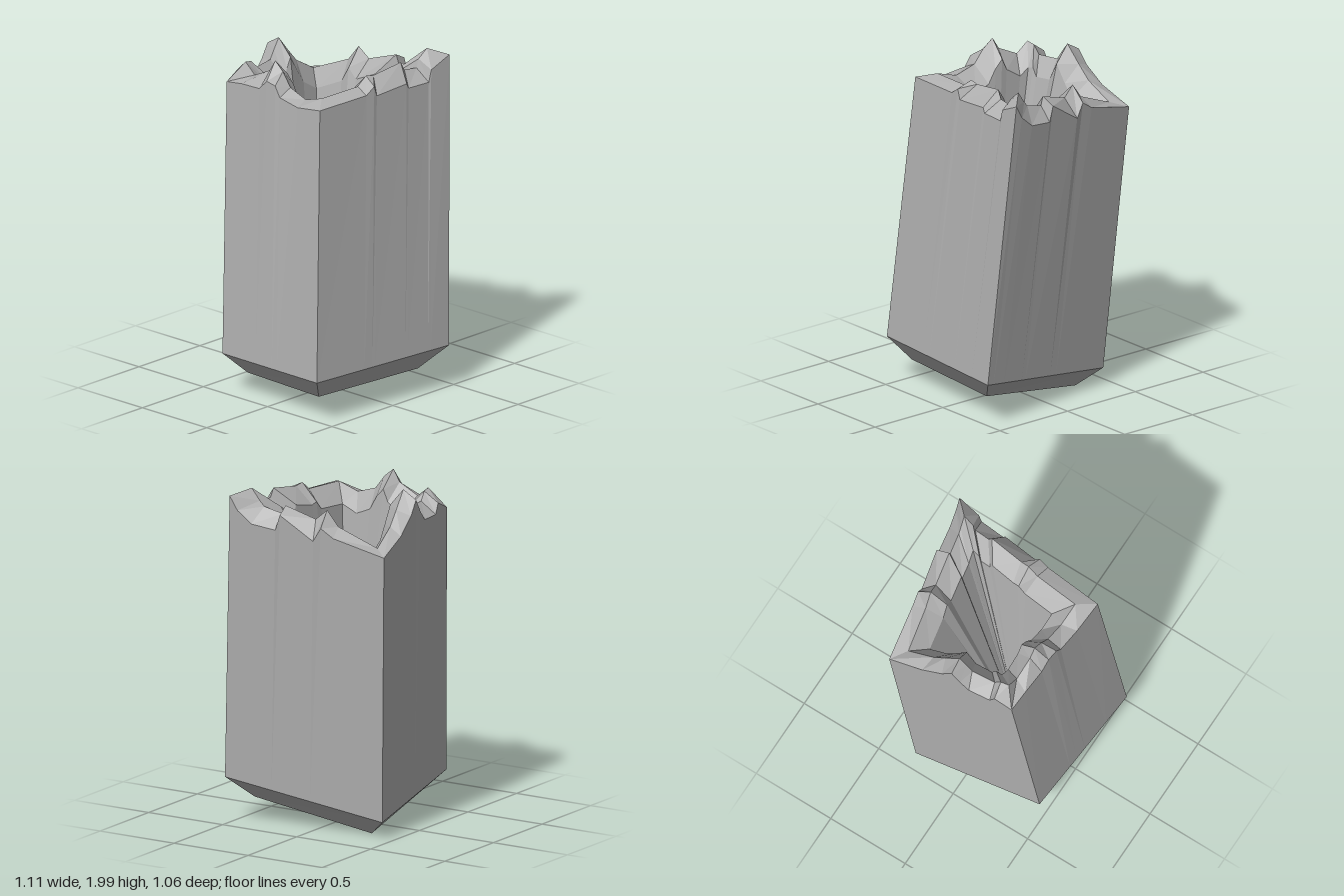
import * as THREE from 'three';

const V = (x, y, z) => new THREE.Vector3(x, y, z);

// Corner loops, ordered front-left, front-right, back-right, back-left
const belt = [V(-0.56, 0.26, 0.44), V(0.43, 0.26, 0.53), V(0.29, 0.1, -0.44), V(-0.49, 0.23, -0.36)];
const foot = [V(-0.45, 0.13, 0.35), V(0.29, 0.13, 0.42), V(0.2, 0, -0.31), V(-0.4, 0.12, -0.25)];
const spikeBase = [V(-0.24, 0.17, 0.14), V(0.06, 0.17, 0.16), V(0.06, 0.11, -0.13), V(-0.2, 0.15, -0.08)];
const outerTop = [V(-0.43, 1.83, 0.34), V(0.55, 1.94, 0.42), V(0.41, 1.68, -0.53), V(-0.36, 1.8, -0.45)];
const midTop = [V(-0.33, 1.86, 0.26), V(0.46, 1.98, 0.33), V(0.34, 1.71, -0.44), V(-0.29, 1.92, -0.37)];
const innerTop = [V(-0.23, 1.76, 0.17), V(0.33, 1.86, 0.22), V(0.26, 1.63, -0.34), V(-0.2, 1.8, -0.3)];
const hole = [V(-0.1, 0.2, 0.065), V(-0.045, 0.2, 0.07), V(-0.055, 0.2, 0.01), V(-0.1, 0.2, 0.015)];

// Jagged break along each side: [outer position, outer height, ridge position, ridge height]
const front = [[0.36, 1.84, 0.34, 1.87], [0.42, 1.88, 0.42, 1.92], [0.44, 1.82, 0.49, 1.91],
  [0.67, 1.84, 0.75, 1.94], [0.685, 1.81, 0.785, 1.89], [0.84, 1.81, 0.9, 1.88], [0.86, 1.88, 0.92, 1.93]];
const right = [[0.05, 1.86, 0.065, 1.91], [0.14, 1.79, 0.1, 1.88], [0.295, 1.77, 0.25, 1.85],
  [0.325, 1.86, 0.27, 1.9], [0.54, 1.73, 0.51, 1.84], [0.59, 1.81, 0.6, 1.9], [0.67, 1.76, 0.69, 1.81]];
const back = [[0.27, 1.76, 0.25, 1.8], [0.43, 1.85, 0.37, 1.88], [0.51, 1.93, 0.51, 1.98],
  [0.58, 1.85, 0.58, 1.92], [0.65, 1.79, 0.635, 1.87], [0.82, 1.79, 0.86, 1.86], [0.86, 1.85, 0.92, 1.91]];
const left = [[0.16, 1.82, 0.12, 1.86], [0.35, 1.83, 0.32, 1.92], [0.43, 1.89, 0.39, 1.99],
  [0.52, 1.88, 0.49, 1.94], [0.57, 1.82, 0.59, 1.86], [0.76, 1.8, 0.79, 1.82]];

// Walk a corner loop, placing one point for every break section
function ring(corners, tIndex, yIndex = -1, drop = 0) {
  const points = [];
  [front, right, back, left].forEach((side, s) => {
    const a = corners[s], b = corners[(s + 1) % 4];
    points.push(a.clone());
    for (const section of side) {
      const p = a.clone().lerp(b, section[tIndex]);
      if (yIndex >= 0) p.y = section[yIndex] - drop;
      points.push(p);
    }
  });
  return points;
}

// Flat-sided skin through successive loops
function loft(name, rings, material) {
  const pos = [];
  const tri = (a, b, c) => [a, b, c].forEach(p => pos.push(p.x, p.y, p.z));
  for (let r = 0; r + 1 < rings.length; r++) {
    const l = rings[r], u = rings[r + 1];
    for (let i = 0; i < l.length; i++) {
      const j = (i + 1) % l.length;
      tri(l[i], l[j], u[j]);
      tri(l[i], u[j], u[i]);
    }
  }
  const geometry = new THREE.BufferGeometry();
  geometry.setAttribute('position', new THREE.Float32BufferAttribute(pos, 3));
  geometry.computeVertexNormals();
  const mesh = new THREE.Mesh(geometry, material);
  mesh.name = name;
  return mesh;
}

export function createModel() {
  const group = new THREE.Group();
  group.name = 'brokenPillar';
  const stone = new THREE.MeshStandardMaterial({ color: 0xb0b0b0 });
  stone.name = 'grey stone';

  // Narrow lip inside the foot, in the same plane
  const centre = foot.reduce((sum, p) => sum.add(p), V(0, 0, 0)).multiplyScalar(0.25);
  const lip = foot.map(p => p.clone().lerp(centre, 0.14));
  const apex = spikeBase.map(() => V(0.01, 0.08, -0.07));

  const outer = ring(outerTop, 0, 1);
  const inner = ring(innerTop, 2, 3, 0.1);
  group.add(
    loft('undersideSpike', [apex, spikeBase], stone),
    loft('underside', [spikeBase, lip, foot], stone),
    loft('bevel', [foot, belt], stone),
    loft('walls', [ring(belt, 0), outer], stone),
    loft('brokenRim', [outer, ring(midTop, 2, 3), inner], stone),
    loft('hollow', [inner, ring(hole, 2)], stone)
  );
  return group;
}
